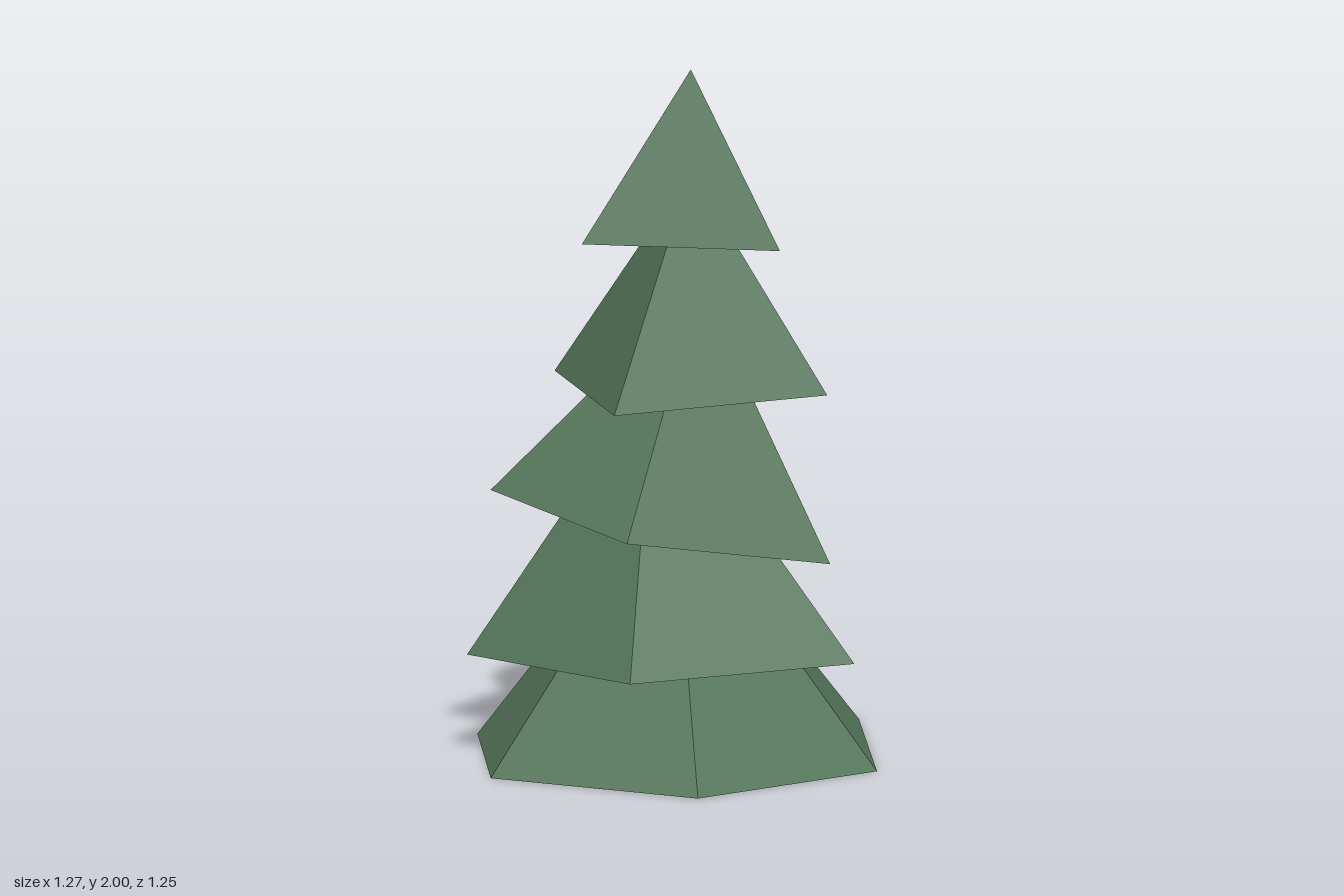
import * as THREE from 'three';

// Each tier is an open, irregular pyramid: an apex and a rim of corners,
// listed front -> right -> back -> left.
const TIERS = [
  { name: 'bottomTier', apex: [-0.025, 0.778, 0.015], y: 0,
    rim: [[-0.333, 0.6], [0.332, 0.62], [0.635, 0.045], [0.27, -0.625], [-0.333, -0.625], [-0.638, 0.027]] },
  { name: 'lowerTier', apex: [-0.085, 1.085, 0.02], y: 0.3,
    rim: [[0.083, 0.545], [0.545, 0.005], [0.17, -0.513], [-0.525, -0.29], [-0.525, 0.345]] },
  // tilted tier: every corner has its own height
  { name: 'middleTier', apex: [0.043, 1.367, -0.02],
    rim: [[0.05, 0.495, 0.7], [0.48, 0.03, 0.592], [0.17, -0.445, 0.604], [-0.453, -0.285, 0.724], [-0.478, 0.285, 0.776]] },
  { name: 'upperTier', apex: [0.025, 1.705, 0], y: 1.08,
    rim: [[0.025, 0.528], [0.457, 0], [0.025, -0.528], [-0.406, 0]] },
  { name: 'topTier', apex: [0.025, 2, 0], y: 1.51,
    rim: [[-0.212, 0.235], [0.347, 0.087], [-0.063, -0.322]] },
];

function tierGeometry({ apex, rim, y }) {
  const corners = rim.map(([x, z, h = y]) => [x, h, z]);
  const positions = [];
  corners.forEach((corner, i) => {
    positions.push(...apex, ...corner, ...corners[(i + 1) % corners.length]);
  });
  const geometry = new THREE.BufferGeometry();
  geometry.setAttribute('position', new THREE.Float32BufferAttribute(positions, 3));
  geometry.computeVertexNormals();
  return geometry;
}

export function createModel() {
  const foliage = new THREE.MeshStandardMaterial({ color: 0x55775a, flatShading: true, side: THREE.DoubleSide });
  foliage.name = 'pine green';

  const tree = new THREE.Group();
  tree.name = 'pineTree';
  for (const tier of TIERS) {
    const mesh = new THREE.Mesh(tierGeometry(tier), foliage);
    mesh.name = tier.name;
    tree.add(mesh);
  }
  return tree;
}
